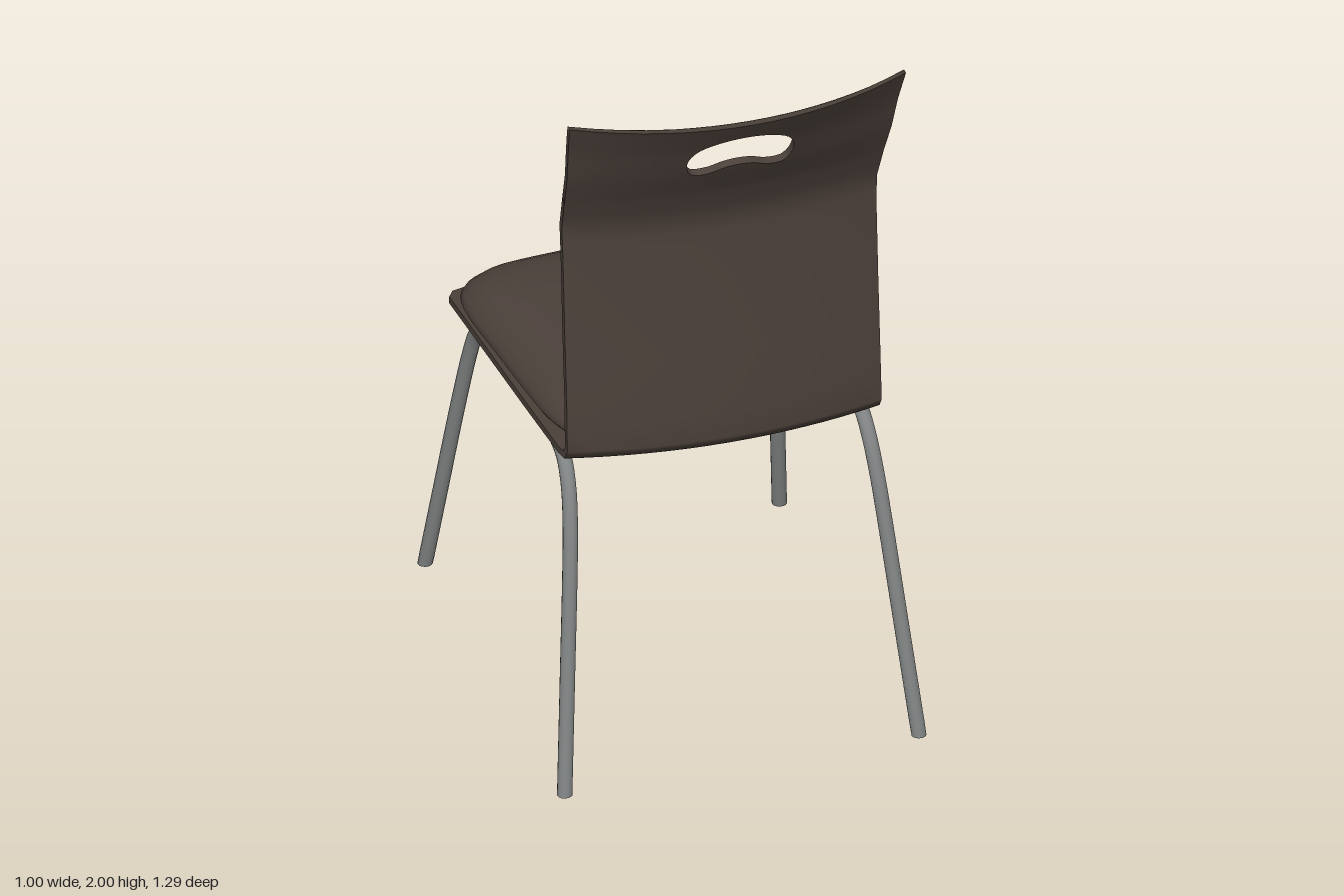
import * as THREE from 'three';
import { mergeGeometries, mergeVertices } from 'three/addons/utils/BufferGeometryUtils.js';

const V3 = (x, y, z) => new THREE.Vector3(x, y, z);
const lerp = THREE.MathUtils.lerp;

// Surface through rows of points; optionally turned over
function grid(rows, flip = false) {
  const n = rows[0].length, index = [];
  for (let i = 0; i < rows.length - 1; i++) {
    for (let j = 0; j < n - 1; j++) {
      const a = i * n + j, b = a + 1, c = a + n, d = c + 1;
      if (flip) index.push(a, c, b, b, c, d);
      else index.push(a, b, c, b, d, c);
    }
  }
  const g = new THREE.BufferGeometry().setFromPoints(rows.flat());
  g.setIndex(index);
  return g;
}

// Weld pieces into one smooth skin
function weld(...parts) {
  const g = mergeVertices(mergeGeometries(parts), 1e-4);
  g.computeVertexNormals();
  return g;
}

// Shell profile from seat front to back top: z, y, half width, sideways bulge
const PROFILE = [
  [-0.515, 0.907, 0.46, -0.06], [-0.49, 0.907, 0.477, -0.06], [-0.25, 0.907, 0.464, -0.04],
  [0.1, 0.907, 0.446, 0], [0.4, 0.907, 0.43, 0.05], [0.445, 0.914, 0.427, 0.055],
  [0.466, 0.945, 0.426, 0.055], [0.457, 1.1, 0.425, 0.055], [0.44, 1.3, 0.425, 0.055],
  [0.425, 1.52, 0.425, 0.055], [0.424, 1.6, 0.427, 0.057], [0.47, 1.7, 0.433, 0.063],
  [0.53, 1.8, 0.44, 0.078], [0.583, 1.9, 0.447, 0.1], [0.645, 2.0, 0.456, 0.122],
];
const LAST = PROFILE.length - 1, PANEL = 11, THICK = 0.02;

function profileAt(t) {
  t = Math.min(Math.max(t, 0), LAST);
  const i = Math.min(Math.floor(t), LAST - 1);
  return PROFILE[i].map((v, k) => lerp(v, PROFILE[i + 1][k], t - i));
}

// Point on the shell: u across (-1..1), t along the profile
function shellPoint([u, t], offset) {
  const [z, y, w, bulge] = profileAt(t);
  const a = profileAt(t - 0.5), b = profileAt(t + 0.5);
  const dz = b[0] - a[0], dy = b[1] - a[1], len = Math.hypot(dz, dy);
  const top = t > LAST - 0.01 ? 0 : (offset * dz) / len;
  return V3(u * w, y + top, z - bulge * u * u - (offset * dy) / len);
}

function shellGeometry() {
  const N = 16, M = 6, RINGS = 5;
  // Seat and lower back
  const lower = [];
  for (let k = 0; k <= PANEL * 2; k++) {
    lower.push(Array.from({ length: N + 1 }, (_, j) => [-1 + (2 * j) / N, k / 2]));
  }
  // Upper back: rings from the panel border to the hand hole
  const border = [];
  for (let j = 0; j < N; j++) border.push([-1 + (2 * j) / N, PANEL]);
  for (let j = 0; j < M; j++) border.push([1, lerp(PANEL, LAST, j / M)]);
  for (let j = 0; j < N; j++) border.push([1 - (2 * j) / N, LAST]);
  for (let j = 0; j < M; j++) border.push([-1, lerp(LAST, PANEL, j / M)]);
  border.push(border[0]);
  const half = [[0.125, 1.798], [0.145, 1.85], [0.125, 1.897], [0.075, 1.928]];
  const hole = new THREE.CatmullRomCurve3([
    [-0.125, 1.798], [-0.08, 1.797], [-0.04, 1.814], [0, 1.82], [0.04, 1.814], [0.08, 1.797],
    ...half, [0, 1.942], ...half.slice(1).reverse().map(([x, y]) => [-x, y]),
  ].map(([x, y]) => V3(x, y, 0)), true);
  const rim = border.map((_, j) => {
    const p = hole.getPointAt((j / (border.length - 1)) % 1);
    const t = 10 + (p.y - 1.6) / 0.1;
    return [p.x / profileAt(t)[2], t];
  });
  const panel = [];
  for (let k = 0; k <= RINGS; k++) {
    panel.push(border.map((p, j) => [lerp(p[0], rim[j][0], k / RINGS), lerp(p[1], rim[j][1], k / RINGS)]));
  }
  const place = (rows, o) => rows.map(r => r.map(p => shellPoint(p, o)));
  const [lo, li, po, pi] = [place(lower, 0), place(lower, THICK), place(panel, 0), place(panel, THICK)];
  const column = (rows, j) => rows.map(r => r[j]);
  return mergeGeometries([
    weld(grid(lo), grid(po)),
    weld(grid(li, true), grid(pi, true)),
    weld(grid([li[0], lo[0]])),
    weld(grid([column(lo, 0), column(li, 0)])),
    weld(grid([column(li, N), column(lo, N)])),
    weld(grid([pi[0], po[0]])),
    weld(grid([po[RINGS], pi[RINGS]])),
  ]);
}

// Domed seat pad: one outline scaled through rising rings
function cushionGeometry() {
  const side = [[0.25, -0.497], [0.38, -0.475], [0.445, -0.425], [0.467, -0.34], [0.452, -0.1],
    [0.436, 0.1], [0.42, 0.23], [0.385, 0.32], [0.32, 0.365], [0.2, 0.386]];
  const outline = new THREE.CatmullRomCurve3([
    [0, -0.506], ...side, [0, 0.393], ...side.slice().reverse().map(([x, z]) => [-x, z]),
  ].map(([x, z]) => V3(x, 0, z)), true).getPoints(66);
  const rings = [[0, 0.926], [0.93, 0.926], [0.985, 0.932], [1, 0.942], [0.985, 0.958], [0.94, 0.98],
    [0.87, 0.997], [0.75, 1.009], [0.55, 1.016], [0.3, 1.02], [0, 1.021]];
  const cz = -0.055;
  return weld(grid(rings.map(([s, y]) => outline.map(p => V3(p.x * s, y, cz + (p.z - cz) * s))), true));
}

export function createModel() {
  const brown = new THREE.MeshStandardMaterial({ color: 0x4b403a });
  brown.name = 'dark brown';
  const grey = new THREE.MeshStandardMaterial({ color: 0x808383 });
  grey.name = 'metal grey';
  const model = new THREE.Group();
  model.name = 'chair';
  const add = (name, geometry, material) => {
    const mesh = new THREE.Mesh(geometry, material);
    mesh.name = name;
    model.add(mesh);
    return mesh;
  };

  add('seatAndBackShell', shellGeometry(), brown);
  add('seatCushion', cushionGeometry(), brown);

  // Each side frame: back leg, seat rail and front leg bent from one tube
  const R = 0.02;
  const bends = [[0.557, 0], [0.495, 0.3], [0.433, 0.6], [0.405, 0.71], [0.365, 0.805], [0.31, 0.865],
    [0.24, 0.885], [-0.03, 0.885], [-0.3, 0.885], [-0.37, 0.865], [-0.42, 0.81], [-0.455, 0.72],
    [-0.505, 0.53], [-0.565, 0.265], [-0.625, 0]];
  for (const s of [1, -1]) {
    const name = s > 0 ? 'left' : 'right';
    const path = new THREE.CatmullRomCurve3(
      bends.map(([z, y]) => V3(s * (0.48 - 0.09 * y), y, z)), false, 'centripetal');
    const tube = new THREE.TubeGeometry(path, 80, R, 14);
    const pos = tube.attributes.position;
    for (let i = 0; i < pos.count; i++) if (pos.getY(i) < 0.008) pos.setY(i, 0);
    add(name + 'LegFrame', tube, grey);
    for (const z of [0.557, -0.625]) {
      const cap = add(name + 'FootCap', new THREE.CircleGeometry(R, 14), grey);
      cap.rotation.x = Math.PI / 2;
      cap.position.set(s * 0.48, 0.001, z);
    }
  }

  // Crossbars under the seat
  for (const [name, z] of [['rearCrossbar', 0.3], ['frontCrossbar', -0.36]]) {
    const bar = add(name, new THREE.CylinderGeometry(0.016, 0.016, 0.8, 12), grey);
    bar.rotation.z = Math.PI / 2;
    bar.position.set(0, 0.885, z);
  }
  return model;
}
